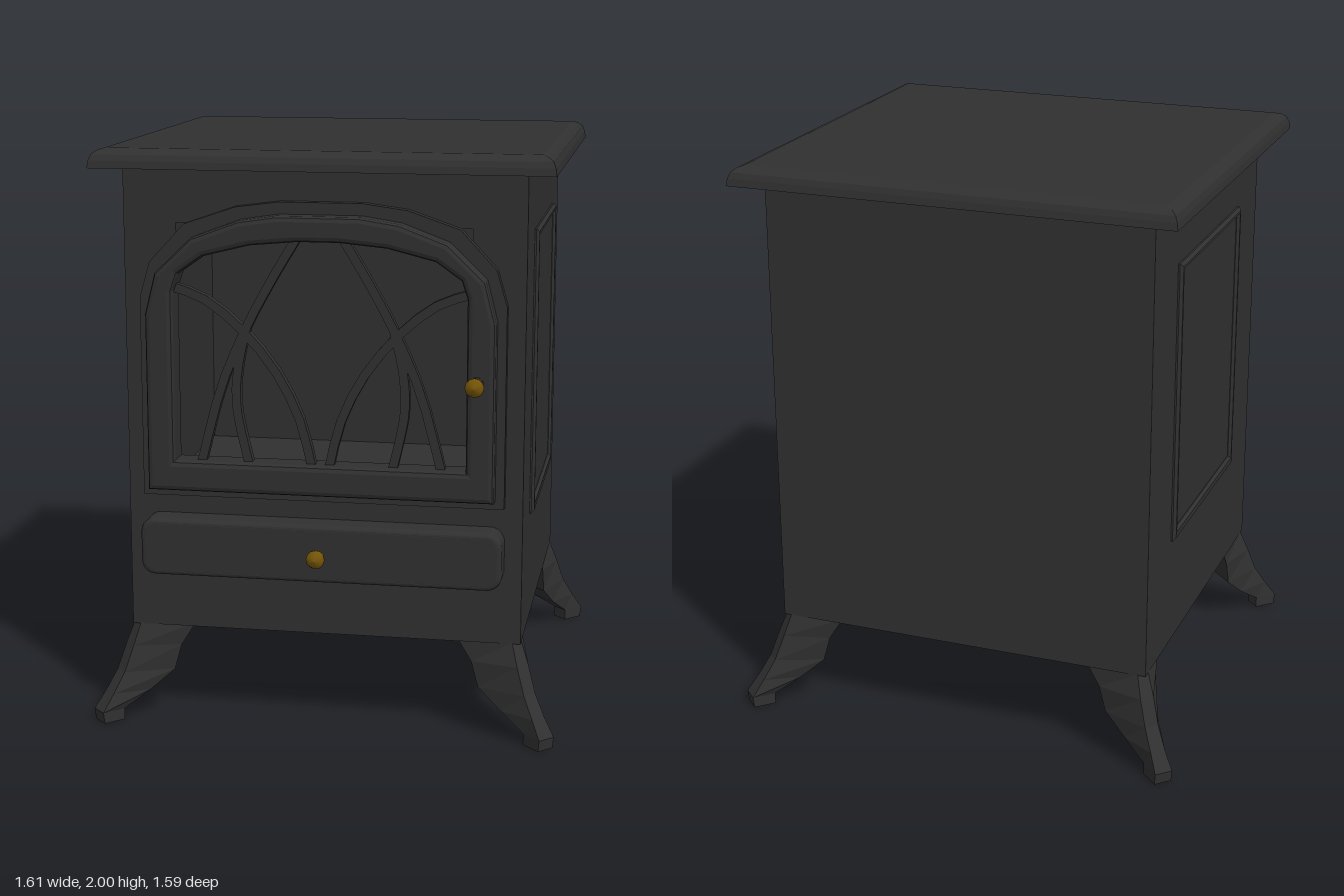
import * as THREE from 'three';

const iron = new THREE.MeshStandardMaterial({ color: 0x303030 });
iron.name = 'cast iron';
const brass = new THREE.MeshStandardMaterial({ color: 0x755508 });
brass.name = 'brass';

function mesh(name, geometry, material = iron) {
  const m = new THREE.Mesh(geometry, material);
  m.name = name;
  return m;
}

// Stacked four-cornered rings, capped at both ends, with flat faces.
// Corners run anticlockwise seen from above; rings go from bottom to top.
function loft(rings) {
  const n = rings[0].length, pos = rings.flat(2), index = [];
  for (let r = 0; r < rings.length - 1; r++) {
    for (let i = 0; i < n; i++) {
      const a = r * n + i, b = r * n + (i + 1) % n;
      index.push(a, b, b + n, a, b + n, a + n);
    }
  }
  const t = (rings.length - 1) * n;
  for (let i = 1; i < n - 1; i++) index.push(0, i + 1, i, t, t + i, t + i + 1);
  const g = new THREE.BufferGeometry();
  g.setAttribute('position', new THREE.Float32BufferAttribute(pos, 3));
  g.setIndex(index);
  const flat = g.toNonIndexed();
  flat.computeVertexNormals();
  return flat;
}

// Plate from z0 to z1 whose front edges are bevelled; the back bevel is buried.
function slab(shape, z0, z1, bevel = 0, steps = 1) {
  const g = new THREE.ExtrudeGeometry(shape, {
    depth: z1 - z0 - bevel, bevelEnabled: bevel > 0, bevelThickness: bevel,
    bevelSize: bevel, bevelOffset: -bevel, bevelSegments: steps, curveSegments: 4,
  });
  return g.translate(0, 0, z0);
}

const outline = (pts) => new THREE.Shape(pts.map(([x, y]) => new THREE.Vector2(x, y)));

function rect(x0, y0, x1, y1) {
  return outline([[x0, y0], [x1, y0], [x1, y1], [x0, y1]]);
}

// Mirrored arch outline from the points of its +x half, bottom to top.
function arch(half) {
  return outline([...half, ...half.map(([x, y]) => [-x, y]).reverse()]);
}

function roundedRect(x0, y0, x1, y1, r) {
  const s = new THREE.Shape();
  s.absarc(x1 - r, y0 + r, r, -Math.PI / 2, 0);
  s.absarc(x1 - r, y1 - r, r, 0, Math.PI / 2);
  s.absarc(x0 + r, y1 - r, r, Math.PI / 2, Math.PI);
  s.absarc(x0 + r, y0 + r, r, Math.PI, Math.PI * 1.5);
  return s;
}

// Curved flat bar of constant width through a few points.
function bar(pts, width) {
  const curve = new THREE.SplineCurve(pts.map(([x, y]) => new THREE.Vector2(x, y)));
  const left = [], right = [];
  for (let i = 0; i <= 10; i++) {
    const p = curve.getPoint(i / 10), t = curve.getTangent(i / 10);
    left.push([p.x - t.y * width / 2, p.y + t.x * width / 2]);
    right.unshift([p.x + t.y * width / 2, p.y - t.x * width / 2]);
  }
  return outline([...left, ...right]);
}

function knob(name, x, y, z) {
  const g = new THREE.Group();
  g.name = name;
  const turn = (pts) => new THREE.LatheGeometry(pts.map(([r, h]) => new THREE.Vector2(r, h)), 12).rotateX(Math.PI / 2);
  g.add(mesh('knobStem', turn([[0.022, -0.03], [0.022, 0.008], [0.011, 0.012], [0.011, 0.03]])));
  g.add(mesh('knobHandle', turn([[0, 0.015], [0.014, 0.018], [0.017, 0.035], [0.03, 0.055],
    [0.032, 0.07], [0.024, 0.085], [0, 0.092]]), brass));
  g.position.set(x, y, z);
  return g;
}

// Cabriole leg pointing diagonally outward from a body corner.
function legGeometry() {
  // height, outer reach, outer half width, inner reach, inner half width
  const sections = [
    [0, 0.14, 0.032, 0.06, 0.032], [0.04, 0.145, 0.032, 0.06, 0.032],
    [0.1, 0.1, 0.027, -0.03, 0.06], [0.17, 0.053, 0.025, -0.11, 0.095],
    [0.26, 0.015, 0.025, -0.13, 0.11], [0.34, -0.02, 0.02, -0.17, 0.14],
  ];
  return loft(sections.map(([y, o, wo, i, wi]) =>
    [[o, y, wo], [o, y, -wo], [i, y, -wi], [i, y, wi]]));
}

export function createModel() {
  const model = new THREE.Group();
  model.name = 'stove';

  // Body with an open firebox behind the door
  const shell = rect(-0.68, 0.335, 0.68, 1.94);
  shell.holes.push(rect(-0.5, 0.9, 0.5, 1.75));
  model.add(mesh('bodyFront', slab(shell, 0.1, 0.6)));
  model.add(mesh('bodyBack', slab(rect(-0.68, 0.335, 0.68, 1.94), -0.68, 0.1)));

  // Top plate with a rounded upper edge
  model.add(mesh('topPlate', loft([[1.935, 0], [1.96, 0.004], [1.98, 0.012], [1.993, 0.028], [2, 0.05]].map(([y, d]) => {
    const x = 0.777 - d, f = 0.69 - d, b = -0.77 + d;
    return [[-x, y, f], [x, y, f], [x, y, b], [-x, y, b]];
  }))));

  // Door: backing plate, bevelled frame and window tracery
  const windowHole = arch([[0.495, 0.95], [0.495, 1.53], [0.475, 1.59], [0.39, 1.65], [0.23, 1.69], [0.07, 1.705]]);
  const plate = arch([[0.62, 0.815], [0.62, 1.5], [0.585, 1.62], [0.465, 1.75], [0.29, 1.81], [0.14, 1.83]]);
  const frame = arch([[0.59, 0.845], [0.59, 1.45], [0.555, 1.59], [0.43, 1.71], [0.27, 1.77], [0.14, 1.79]]);
  plate.holes.push(windowHole);
  frame.holes.push(windowHole);
  const door = new THREE.Group();
  door.name = 'door';
  door.add(mesh('doorPlate', slab(plate, 0.6, 0.635)));
  door.add(mesh('doorFrame', slab(frame, 0.635, 0.697, 0.018, 2)));
  const bars = [
    [[0.08, 1.71], [0.17, 1.56], [0.255, 1.4], [0.34, 1.2], [0.41, 0.94]],
    [[0.5, 1.54], [0.39, 1.5], [0.265, 1.4], [0.15, 1.26], [0.07, 1.1], [0.03, 0.94]],
    [[0.25, 1.41], [0.28, 1.27], [0.285, 1.13], [0.245, 0.94]],
  ];
  for (const side of [1, -1]) {
    for (const pts of bars) {
      const shape = bar(pts.map(([x, y]) => [x * side, y]), 0.03);
      door.add(mesh('windowBar', slab(shape, 0.625, 0.655)));
    }
  }
  door.add(knob('doorKnob', 0.53, 1.255, 0.697));
  model.add(door);

  // Ash drawer with a rim around a recessed face
  const rim = roundedRect(-0.62, 0.545, 0.62, 0.745, 0.05);
  rim.holes.push(roundedRect(-0.585, 0.578, 0.585, 0.712, 0.02));
  const drawer = new THREE.Group();
  drawer.name = 'ashDrawer';
  drawer.add(mesh('drawerRim', slab(rim, 0.6, 0.697, 0.018, 3)));
  drawer.add(mesh('drawerFace', slab(rect(-0.605, 0.56, 0.605, 0.73), 0.6, 0.677)));
  drawer.add(knob('drawerKnob', 0, 0.645, 0.685));
  model.add(drawer);

  // Framed panel on each side
  for (const side of [1, -1]) {
    const border = rect(-0.375, 0.725, 0.375, 1.72);
    border.holes.push(rect(-0.345, 0.765, 0.345, 1.69));
    const panel = new THREE.Group();
    panel.name = side > 0 ? 'leftPanel' : 'rightPanel';
    panel.add(mesh('panelBorder', slab(border, 0.68, 0.696, 0.01)));
    panel.add(mesh('panelFace', slab(rect(-0.35, 0.76, 0.35, 1.695), 0.675, 0.684)));
    panel.rotation.y = side * Math.PI / 2;
    panel.position.z = -0.04;
    model.add(panel);
  }

  // Four splayed legs
  const leg = legGeometry();
  for (const [x, z, turn] of [[0.68, 0.6, -1], [-0.68, 0.6, -3], [0.68, -0.68, 1], [-0.68, -0.68, 3]]) {
    const m = mesh(z > 0 ? 'frontLeg' : 'backLeg', leg);
    m.position.set(x, 0, z);
    m.rotation.y = turn * Math.PI / 4;
    model.add(m);
  }
  return model;
}
